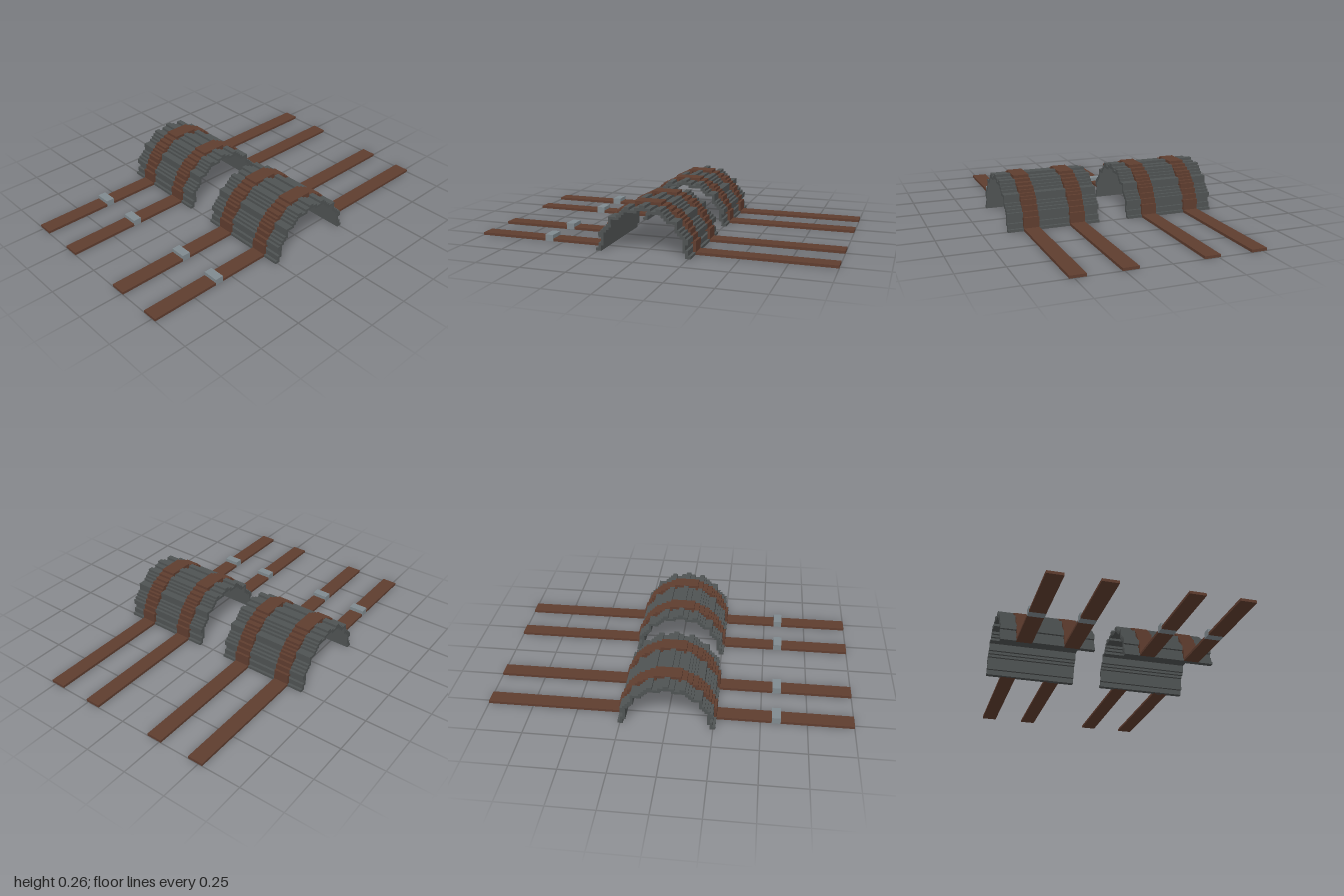
import * as THREE from 'three';
import { mergeGeometries } from 'three/addons/utils/BufferGeometryUtils.js';

const U = 0.0146; // edge of one block

const mat = (name, color) => {
  const m = new THREE.MeshStandardMaterial({ color });
  m.name = name;
  return m;
};

function box(w, h, d, x, y, z) {
  return new THREE.BoxGeometry(w, h, d).translate(x, y, z);
}

// Half-round stepped arch: runs of blocks in each row, stretched along x
function steppedArch(width, inside) {
  const parts = [];
  for (let j = 0; j < 18; j++) {
    let start = null;
    for (let i = -18; i <= 18; i++) {
      const z = i + 0.5, y = j + 0.5;
      const on = i < 18 && inside(Math.hypot(z, y), Math.atan2(y, z));
      if (on && start === null) start = i;
      if (!on && start !== null) {
        parts.push(box(width, U, (i - start) * U, 0, (j + 0.5) * U, (i + start) / 2 * U));
        start = null;
      }
    }
  }
  return mergeGeometries(parts);
}

export function createModel() {
  const steel = mat('dark steel', 0x4f5353);
  const leather = mat('brown leather', 0x5f3d2f);
  const metal = mat('buckle metal', 0x808a8f);
  const root = new THREE.Group();
  root.name = 'strappedGuards';

  // Corrugated plate and the strap layer that follows it
  const plateGeo = steppedArch(0.525, (r, a) =>
    Math.abs(r - (16.6 + 0.5 * Math.cos(16 * a))) < 0.7);
  const archGeo = steppedArch(0.087, (r) => r >= 17.1 && r < 18.1);
  archGeo.scale(1, 1.005, 1.005);

  // Flat strap lengths, broken by the buckle
  const flat = (z0, z1) => box(0.087, U, z1 - z0, 0, U / 2, (z0 + z1) / 2);
  const tailGeo = mergeGeometries([flat(-1, -0.25), flat(0.25, 0.56), flat(0.608, 1)]);
  const buckleGeo = box(0.089, 0.036, 0.048, 0, 0.018, 0.584);

  const add = (parent, name, geo, material, x) => {
    const mesh = new THREE.Mesh(geo, material);
    mesh.name = name;
    mesh.position.x = x;
    parent.add(mesh);
  };

  for (const side of [-1, 1]) {
    const guard = new THREE.Group();
    guard.name = side > 0 ? 'leftGuard' : 'rightGuard';
    guard.position.x = side * 0.349;
    add(guard, 'corrugatedPlate', plateGeo, steel, 0);
    for (const x of [-0.132, 0.132]) {
      add(guard, 'strapArch', archGeo, leather, x);
      add(guard, 'strapTails', tailGeo, leather, x);
      add(guard, 'buckle', buckleGeo, metal, x);
    }
    root.add(guard);
  }
  return root;
}
